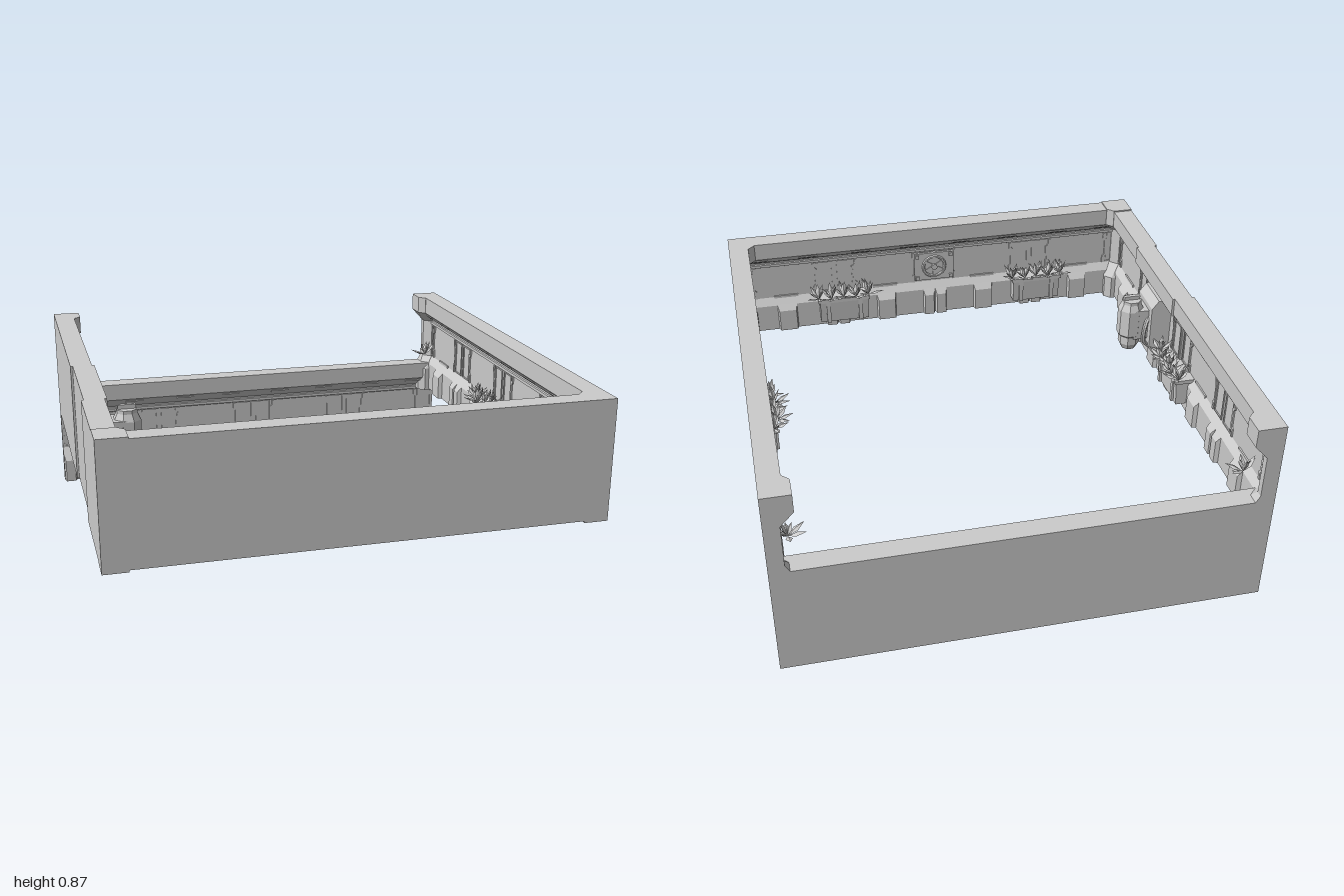
import * as THREE from 'three';

const material = new THREE.MeshStandardMaterial({ color: 0xcccccc, flatShading: true, side: THREE.DoubleSide });

function add(parent, name, geometry, x = 0, y = 0, z = 0) {
  const mesh = new THREE.Mesh(geometry, material);
  mesh.name = name;
  mesh.position.set(x, y, z);
  parent.add(mesh);
  return mesh;
}
const box = (w, h, d) => new THREE.BoxGeometry(w, h, d);

let seed = 7;
function random() {
  seed = (seed * 16807) % 2147483647;
  return seed / 2147483647;
}

// Extrude a [depth, height] profile along x; depth points to +z
function alongX(profile, length) {
  const shape = new THREE.Shape(profile.map(p => new THREE.Vector2(p[0], p[1])));
  const g = new THREE.ExtrudeGeometry(shape, { depth: length, bevelEnabled: false });
  return g.translate(0, 0, -length / 2).rotateY(-Math.PI / 2);
}
// Extrude an [x, y] outline towards +z
function plate(points, depth) {
  const shape = new THREE.Shape(points.map(p => new THREE.Vector2(p[0], p[1])));
  return new THREE.ExtrudeGeometry(shape, { depth, bevelEnabled: false });
}

const wallProfile = [[0, 0], [0.051, 0], [0.051, 0.135], [0.025, 0.17], [0.025, 0.34], [0.034, 0.345],
  [0.034, 0.358], [0.03, 0.362], [0.03, 0.37], [0.055, 0.385], [0.09, 0.42], [0.09, 0.5], [0, 0.5]];
const panelGeometry = alongX(wallProfile, 0.5);

// Foot block whose sides flare towards the wall
function footGeometry(width) {
  const g = alongX([[0.045, 0], [0.07, 0], [0.07, 0.11], [0.045, 0.143]], width - 0.016);
  const p = g.attributes.position;
  for (let i = 0; i < p.count; i++) {
    if (p.getZ(i) < 0.06) p.setX(i, p.getX(i) + Math.sign(p.getX(i)) * 0.008);
  }
  return g;
}
const midFoot = footGeometry(0.1);
const endFoot = footGeometry(0.062);

// Raised bracket beside each pad, stepped in the middle
const bracketGeometry = plate([[0.098, 0.172], [0.11, 0.172], [0.11, 0.21], [0.1, 0.22], [0.1, 0.3],
  [0.11, 0.31], [0.11, 0.34], [0.098, 0.34], [0.098, 0.315], [0.09, 0.305], [0.09, 0.215], [0.098, 0.205]], 0.008);
const frame = new THREE.Shape([[0.01, 0.175], [0.09, 0.175], [0.09, 0.34], [0.01, 0.34]].map(p => new THREE.Vector2(...p)));
frame.holes.push(new THREE.Path([[0.016, 0.181], [0.016, 0.334], [0.084, 0.334], [0.084, 0.181]].map(p => new THREE.Vector2(...p))));
const frameGeometry = new THREE.ExtrudeGeometry(frame, { depth: 0.006, bevelEnabled: false });

function wallModule(parent, x, z = 0) {
  const m = new THREE.Group();
  m.name = 'wallModule';
  m.position.set(x, 0, z);
  add(m, 'wallPanel', panelGeometry);
  add(m, 'middleFoot', midFoot);
  for (const s of [-1, 1]) {
    add(m, 'endFoot', endFoot, s * 0.219);
    const side = new THREE.Group();
    side.name = 'panelEdge';
    side.position.set(-s * 0.25, 0, 0.024);
    side.scale.x = s;
    add(side, 'edgeBracket', bracketGeometry);
    add(side, 'edgeFrame', frameGeometry);
    m.add(side);
    // Slot bars under the rim
    const slot = add(m, 'rimSlot', box(0.09, 0.012, 0.006), s * 0.12, 0.404, 0.075);
    slot.rotation.x = Math.PI / 4;
  }
  add(m, 'middleTab', box(0.12, 0.012, 0.01), 0, 0.172, 0.027);
  parent.add(m);
}

const leafGeometry = new THREE.OctahedronGeometry(1).scale(0.014, 0.5, 0.005).translate(0, 0.5, 0);

// A spray of pointed leaves
function leafCluster(parent, x, y, z, size) {
  const g = new THREE.Group();
  g.name = 'leafCluster';
  g.position.set(x, y, z);
  for (let i = 0; i < 10; i++) {
    const leaf = add(g, 'leaf', leafGeometry);
    const length = size * (0.75 + 0.4 * random());
    leaf.scale.set(1, length, 1);
    leaf.rotation.order = 'YXZ';
    leaf.rotation.set(0.35 + (i % 3) * 0.45, i * 2.4 + random(), 0);
  }
  parent.add(g);
}

function planter(parent, x) {
  const g = new THREE.Group();
  g.name = 'planter';
  g.position.x = x;
  add(g, 'planterBox', alongX([[0.02, 0.04], [0.1, 0.04], [0.108, 0.16], [0.02, 0.16]], 0.24));
  add(g, 'planterRim', box(0.256, 0.018, 0.092), 0, 0.162, 0.068);
  for (const s of [-1, 1]) add(g, 'planterStrap', box(0.02, 0.12, 0.012), s * 0.08, 0.1, 0.107);
  for (let i = 0; i < 5; i++) leafCluster(g, (i - 2) * 0.062, 0.175, 0.1 + 0.012 * (i % 2), 0.075);
  parent.add(g);
}

// Round fan in a square plate
function vent(parent, x) {
  const g = new THREE.Group();
  g.name = 'vent';
  g.position.set(x, 0.26, 0.025);
  add(g, 'ventPlate', box(0.2, 0.15, 0.016), 0, 0, 0.008);
  add(g, 'ventRing', new THREE.TorusGeometry(0.055, 0.008, 6, 16), 0, 0, 0.018);
  add(g, 'ventHub', new THREE.CylinderGeometry(0.016, 0.016, 0.02, 8).rotateX(Math.PI / 2), 0, 0, 0.02);
  for (let i = 0; i < 6; i++) {
    add(g, 'ventBlade', box(0.016, 0.045, 0.004).translate(0, 0.03, 0), 0, 0, 0.019).rotation.z = i * Math.PI / 3;
  }
  for (const sx of [-1, 1]) for (const sy of [-1, 1]) {
    add(g, 'ventBolt', box(0.018, 0.018, 0.012), sx * 0.085, sy * 0.06, 0.018);
  }
  parent.add(g);
}

// Wall machine: back plate, arm and an eight-sided tank
function machine(parent, x) {
  const g = new THREE.Group();
  g.name = 'wallMachine';
  g.position.set(x, 0, 0);
  add(g, 'machinePlate', alongX([[0.02, 0.1], [0.09, 0.1], [0.13, 0.15], [0.13, 0.36], [0.1, 0.4], [0.02, 0.4]], 0.18));
  add(g, 'machineArm', box(0.11, 0.15, 0.08), 0, 0.26, 0.155);
  const tank = new THREE.LatheGeometry([[0, 0.12], [0.035, 0.12], [0.05, 0.15], [0.05, 0.19], [0.06, 0.2], [0.06, 0.33],
    [0.045, 0.36], [0.045, 0.375], [0, 0.375]].map(p => new THREE.Vector2(...p)), 8).rotateY(Math.PI / 8);
  add(g, 'machineTank', tank, 0, 0, 0.2);
  add(g, 'tankHandle', box(0.018, 0.02, 0.075), 0, 0.383, 0.2);
  for (const s of [-1, 1]) {
    const curve = new THREE.CatmullRomCurve3([[0.04, 0.3, 0.12], [0.075, 0.27, 0.15], [0.07, 0.18, 0.15], [0.05, 0.13, 0.1]]
      .map(p => new THREE.Vector3(p[0] * s, p[1], p[2])));
    add(g, 'machinePipe', new THREE.TubeGeometry(curve, 10, 0.01, 6));
  }
  parent.add(g);
}

// Corner pier lofted through [height, wall depth, reach] sections with a diagonal inner face
function cornerGeometry(top) {
  const sections = [[-0.008, 0.072, 0.1], [0.11, 0.072, 0.1], [0.17, 0.03, 0.065], [0.36, 0.03, 0.065],
    [0.42, 0.091, 0.12], [top, 0.091, 0.12]];
  const v = [], index = [], n = 5, last = (sections.length - 1) * n;
  for (const [y, t, c] of sections) v.push(0, y, 0, c, y, 0, c, y, t, t, y, c, 0, y, c);
  for (let i = 0; i < last; i += n) {
    for (let j = 0; j < n; j++) {
      const a = i + j, b = i + (j + 1) % n;
      index.push(a, a + n, b, b, a + n, b + n);
    }
  }
  for (let j = 1; j < n - 1; j++) index.push(0, j, j + 1, last, last + j + 1, last + j);
  const g = new THREE.BufferGeometry();
  g.setAttribute('position', new THREE.Float32BufferAttribute(v, 3));
  g.setIndex(index);
  const flat = g.toNonIndexed();
  flat.computeVertexNormals();
  return flat;
}

export function createModel() {
  const model = new THREE.Group();
  model.name = 'walledCourt';
  const RAISE = 0.36;
  const walls = {};
  for (const [name, angle, y] of [['backWall', 0, 0], ['frontWall', Math.PI, RAISE],
    ['rightWall', Math.PI / 2, RAISE], ['leftWall', -Math.PI / 2, RAISE]]) {
    const wall = new THREE.Group();
    wall.name = name;
    wall.rotation.y = angle;
    wall.position.set(-Math.sin(angle), y, -Math.cos(angle));
    for (let i = 0; i < 4; i++) {
      // One module of the right wall sits slightly inward
      wallModule(wall, -0.75 + i * 0.5, name === 'rightWall' && i === 1 ? 0.01 : 0);
    }
    walls[name] = wall;
    model.add(wall);
  }

  // Corner piers, local axes turned towards the middle
  for (const [x, z, angle, top] of [[-1, -1, 0, 0.5], [-1, 1, Math.PI / 2, 0.506],
    [1, 1, Math.PI, 0.5], [1, -1, -Math.PI / 2, 0.5]]) {
    add(model, 'cornerPier', cornerGeometry(top), x, RAISE, z).rotation.y = angle;
  }

  // Fittings on the inner faces
  planter(walls.frontWall, -0.47);
  planter(walls.frontWall, 0.52);
  planter(walls.rightWall, 0.04);
  planter(walls.leftWall, -0.02);
  leafCluster(walls.rightWall, 0.87, 0.2, 0.09, 0.075);
  leafCluster(walls.leftWall, -0.87, 0.2, 0.09, 0.075);
  vent(walls.frontWall, 0);
  machine(walls.rightWall, -0.245);
  return model;
}
